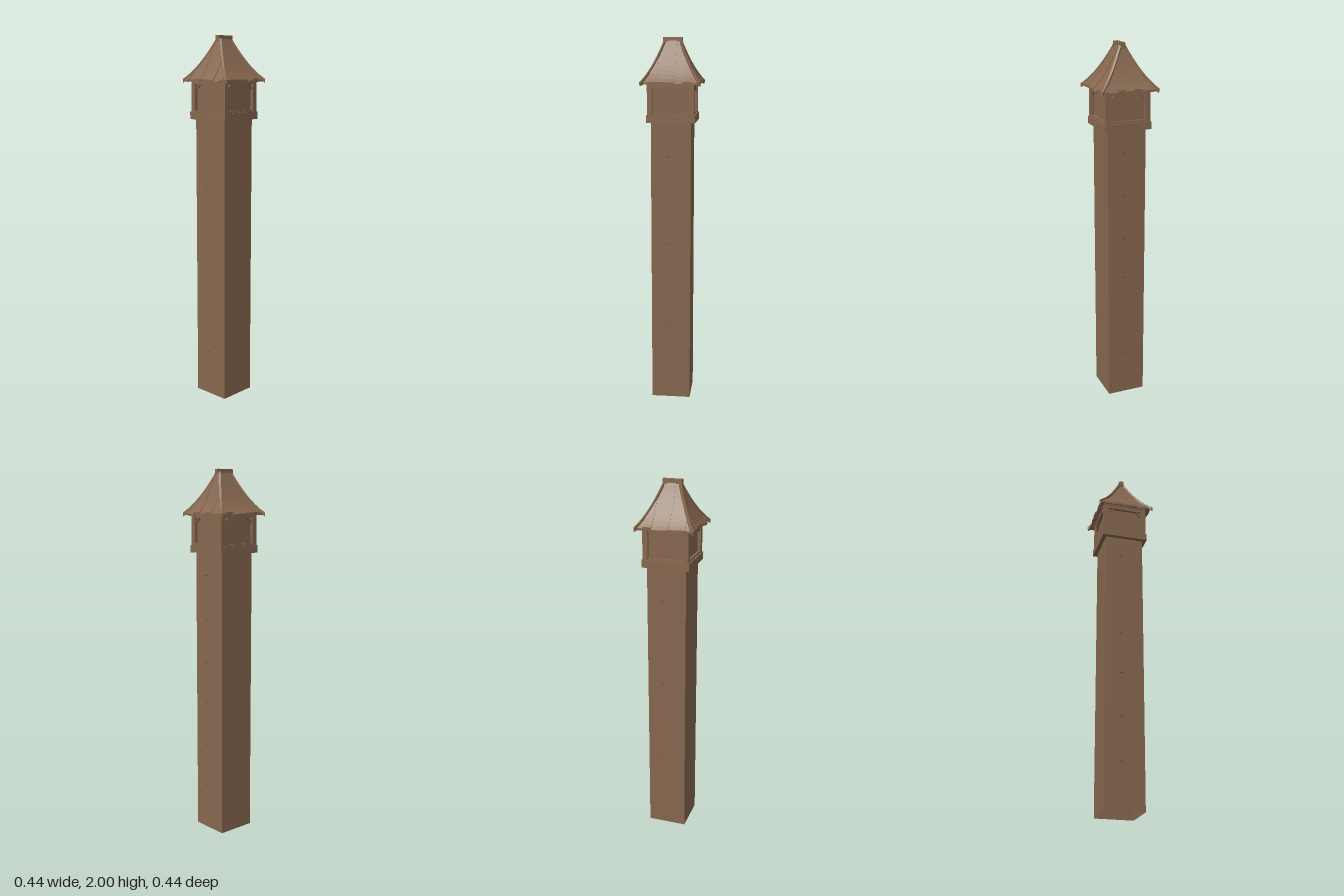
import * as THREE from 'three';

const wood = new THREE.MeshStandardMaterial({ color: 0x87684f, side: THREE.DoubleSide });
wood.name = 'brown wood';
const moss = new THREE.MeshStandardMaterial({ color: 0x46602f });
moss.name = 'moss green';

function add(parent, name, geometry, x = 0, y = 0, z = 0, material = wood) {
  const mesh = new THREE.Mesh(geometry, material);
  mesh.name = name;
  mesh.position.set(x, y, z);
  parent.add(mesh);
  return mesh;
}

// closed prism through a series of four-cornered cross-sections
function loft(rows) {
  const positions = rows.flat(2);
  const index = [];
  const quad = (a, b, c, d) => index.push(a, b, c, a, c, d);
  for (let i = 0; i < rows.length - 1; i++) {
    for (let j = 0; j < 4; j++) {
      const k = (j + 1) % 4;
      quad(i * 4 + j, i * 4 + k, i * 4 + 4 + k, i * 4 + 4 + j);
    }
  }
  const e = (rows.length - 1) * 4;
  quad(e, e + 1, e + 2, e + 3);
  quad(3, 2, 1, 0);
  const g = new THREE.BufferGeometry();
  g.setAttribute('position', new THREE.Float32BufferAttribute(positions, 3));
  g.setIndex(index);
  const flat = g.toNonIndexed();
  flat.computeVertexNormals();
  return flat;
}

// roof rules: s runs from the ridge (0) to the eave (1)
const EAVE = 0.148;
const lerp = THREE.MathUtils.lerp;
const roofY = (s) => 1.772 + 0.205 * (0.6 * (1 - s) + 0.4 * (1 - s) ** 2);

// one curved board, trimmed by the hips on both sides
function plank(u0, u1, topDepth, topWidth, lift, end) {
  const inner = Math.max(0, u0, -u1);
  const start = Math.max(0, (inner - topWidth) / (EAVE - topWidth));
  const rows = [];
  for (let i = 0; i <= 8; i++) {
    const s = lerp(start, end, i / 8);
    const w = lerp(topWidth, EAVE, s);
    const a = THREE.MathUtils.clamp(u0, -w, w);
    const b = THREE.MathUtils.clamp(u1, -w, w);
    const z = lerp(topDepth, EAVE, s);
    const y = roofY(s) + lift;
    rows.push([[a, y - 0.012, z], [b, y - 0.012, z], [b, y, z], [a, y, z]]);
  }
  return loft(rows);
}

// curved beam down one corner of the roof
function hip(sx, sz) {
  const rows = [];
  const h = 0.0045;
  for (let i = 0; i <= 10; i++) {
    const s = (i / 10) * 1.06;
    const x = sx * lerp(0.043, EAVE, s);
    const z = sz * lerp(0.014, EAVE, s);
    const y = roofY(s);
    const dx = sz * h;
    const dz = -sx * h;
    rows.push([
      [x + dx, y - 0.012, z + dz], [x - dx, y - 0.012, z - dz],
      [x - dx, y + 0.009, z - dz], [x + dx, y + 0.009, z + dz],
    ]);
  }
  return loft(rows);
}

export function createModel() {
  const model = new THREE.Group();
  model.name = 'tower';
  const tower = new THREE.Group();
  tower.name = 'turnedTower';
  tower.rotation.y = THREE.MathUtils.degToRad(41);
  model.add(tower);

  // shaft, hollow and open underneath
  const R = 0.1065;
  for (let k = 0; k < 4; k++) {
    const side = new THREE.Group();
    side.name = 'side';
    side.rotation.y = (k * Math.PI) / 2;
    tower.add(side);
    add(side, 'shaftWall', new THREE.PlaneGeometry(2 * R, 1.77), 0, 0.885, R);

    // small moss marks up the wall
    const levels = k % 2 ? [0.25, 0.49, 0.73, 0.96, 1.2, 1.44] : [0.43, 0.9, 1.38];
    for (const y of levels) {
      add(side, 'mossMark', new THREE.BoxGeometry(0.02, 0.004, 0.002), -0.02, y, R, moss);
    }

    // lookout frame: rails and corner braces
    add(side, 'topRail', new THREE.BoxGeometry(0.2, 0.022, 0.016), 0, 1.757, 0.114);
    add(side, 'bottomRail', new THREE.BoxGeometry(0.2, 0.01, 0.014), 0, 1.605, 0.113);
    for (const s of [-1, 1]) {
      const brace = add(side, 'brace', new THREE.BoxGeometry(0.042, 0.009, 0.01), s * 0.081, 1.735, 0.113);
      brace.rotation.z = s * -Math.PI / 4;
    }

    // roof boards with an uneven lower edge
    const long = k % 2 === 0;
    const count = 7;
    for (let i = 0; i < count; i++) {
      const u0 = lerp(-0.156, 0.156, i / count);
      const u1 = lerp(-0.156, 0.156, (i + 1) / count);
      const lift = [0, 0.004, 0.001, 0.005][(i + k) % 4];
      const end = 1 + [0, 0.035, 0.015, 0.05, -0.01][(i * 2 + k) % 5];
      add(side, 'roofBoard', plank(u0, u1, long ? 0.014 : 0.043, long ? 0.043 : 0.014, lift, end));
    }
  }

  // ledge, corner posts and hips
  add(tower, 'ledge', new THREE.BoxGeometry(0.258, 0.04, 0.258), 0, 1.58, 0);
  for (const sx of [-1, 1]) {
    for (const sz of [-1, 1]) {
      add(tower, 'cornerPost', new THREE.BoxGeometry(0.028, 0.17, 0.028), sx * 0.11, 1.685, sz * 0.11);
      add(tower, 'roofHip', hip(sx, sz));
    }
  }

  // ceiling under the boards and cap on the ridge
  add(tower, 'ceiling', new THREE.BoxGeometry(0.25, 0.006, 0.25), 0, 1.768, 0);
  add(tower, 'ridgeCap', new THREE.BoxGeometry(0.104, 0.03, 0.026), 0, 1.985, 0);
  return model;
}
